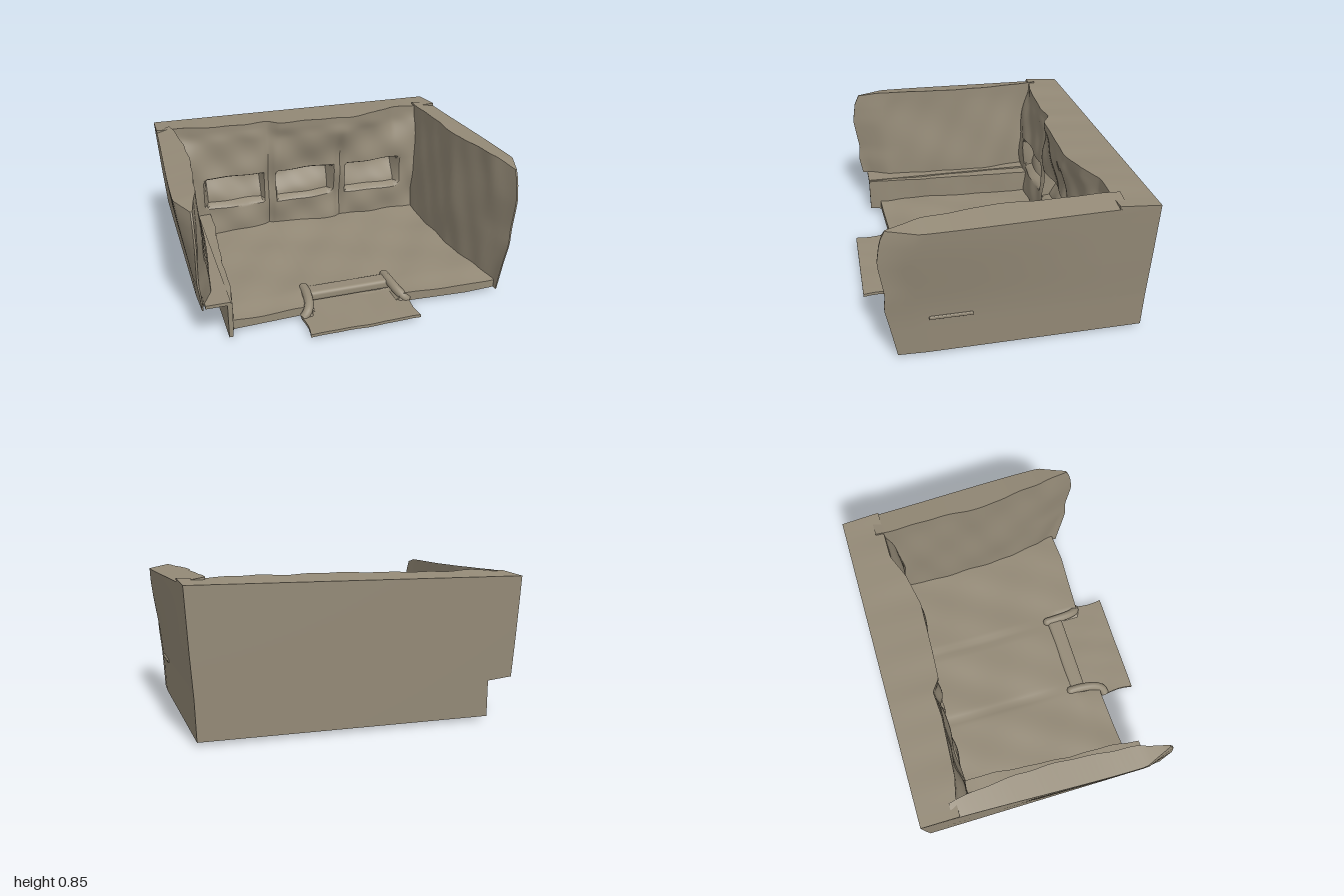
import * as THREE from 'three';
import { toCreasedNormals } from 'three/addons/utils/BufferGeometryUtils.js';
import { RoundedBoxGeometry } from 'three/addons/geometries/RoundedBoxGeometry.js';

const clay = new THREE.MeshStandardMaterial({ color: 0x948a77 });
clay.name = 'clay';

// piecewise linear lookup in a list of [input, output] pairs
function table(rows, v) {
  if (v <= rows[0][0]) return rows[0][1];
  for (let i = 1; i < rows.length; i++) {
    const [a, fa] = rows[i - 1], [b, fb] = rows[i];
    if (v <= b) return fa + (fb - fa) * (v - a) / (b - a);
  }
  return rows[rows.length - 1][1];
}
const smooth = THREE.MathUtils.smoothstep;
const lerp = THREE.MathUtils.lerp;

// gentle crumpled unevenness, about -1 to 1
const rough = (a, b) =>
  (Math.sin(a * 9 + b * 5) + Math.sin(b * 13 - a * 6 + 1) + Math.sin(a * 17 + b * 11 + 2)) / 3;

// box from min to max whose vertices are moved by a rule
function shapedBox(min, max, segments, rule) {
  const size = max.map((m, i) => m - min[i]);
  const g = new THREE.BoxGeometry(...size, ...segments);
  g.translate(...max.map((m, i) => (m + min[i]) / 2));
  const p = g.attributes.position, v = new THREE.Vector3();
  for (let i = 0; i < p.count; i++) {
    v.fromBufferAttribute(p, i);
    rule(v);
    p.setXYZ(i, v.x, v.y, v.z);
  }
  return toCreasedNormals(g, 0.6);
}

// distance of the outer side faces from the centre
function outerX(y, z) {
  const flare = 0.035 * smooth(y, 0.3, 0.84) * smooth(z, -0.78, 0.5);
  return table([[0.03, 0.91], [0.25, 0.92], [0.5, 0.94], [0.84, 0.963]], y) + flare;
}

// back wall: sunk panels, grooves between seats, stepped lower left corner
function backWall() {
  const topEdge = [[-0.88, -0.56], [-0.75, -0.53], [-0.4, -0.51], [-0.25, -0.52], [-0.18, -0.47],
    [0, -0.46], [0.3, -0.45], [0.5, -0.49], [0.65, -0.55], [0.82, -0.55]];
  const rule = v => {
    const { x, y } = v, front = v.z > -0.6;
    if (front) {
      let z = lerp(-0.49, table(topEdge, x), smooth(y, 0.5, 0.84));
      z += 0.018 * rough(x * 1.3, y * 1.5) * smooth(0.84 - y, 0, 0.1);
      for (const gx of [-0.25, 0.25])
        z -= 0.025 * Math.exp(-(((x - gx) / 0.025) ** 2)) * (1 - smooth(y, 0.5, 0.8));
      for (const cx of [-0.49, -0.005, 0.49]) {
        const inside = (1 - smooth(Math.abs(x - cx), 0.188, 0.204)) *
          smooth(y, 0.295, 0.31) * (1 - smooth(y, 0.485, 0.5));
        z -= inside * lerp(0.05, 0.12, smooth(y, 0.3, 0.5));
      }
      v.z = z;
    } else {
      v.z = lerp(-0.766, -0.78, y / 0.84);
    }
    const s = Math.sign(x), out = Math.abs(x) - 0.75;
    if (out > 0) {
      const limit = s < 0 && y < 0.25 ? 0.77 : outerX(y, v.z);
      v.x = s * (0.75 + out * (limit - 0.75) / 0.21);
    }
    if (y > 0.839) v.y += front ? 0.018 + 0.007 * rough(x * 1.5, 0) : 0;
  };
  return shapedBox([-0.96, 0.03, -0.78], [0.96, 0.84, -0.5], [120, 54, 1], rule);
}

// side wall tapering to an upright wedge at its front end
function sideWall(s, bottom) {
  const inner = s < 0
    ? [[-0.6, 0.88], [-0.45, 0.86], [-0.2, 0.83], [0.3, 0.855], [0.5, 0.875], [0.7, 0.92]]
    : [[-0.6, 0.82], [0.1, 0.82], [0.4, 0.86], [0.5, 0.875], [0.7, 0.92]];
  const lean = s < 0 ? 0.045 : 0.02;
  const frontZ = [[0.03, 0.63], [0.2, 0.66], [0.36, 0.69], [0.45, 0.68], [0.65, 0.71], [0.78, 0.69], [0.84, 0.66]];
  const rule = v => {
    const { y, z } = v, isOuter = v.x * s > 0.9 * s * s;
    const o = outerX(y, z), tip = Math.min(0.93, o - 0.008);
    const taper = Math.max(0, (z - 0.53) / 0.17);
    if (isOuter) v.x = s * lerp(o, tip, taper);
    else {
      let x = table(inner, z) - lean * (1 - smooth(y, 0.25, 0.84)) * (1 - taper);
      x += 0.008 * rough(z * 1.5, y) * (1 - taper);
      v.x = s * Math.min(x, tip - 0.008);
    }
    if (y > 0.839 && !isOuter) v.y += 0.025 * (1 - taper);
    v.z += (table(frontZ, y) - 0.7) * smooth(z, 0, 0.7);
  };
  const xs = s < 0 ? [-0.95, -0.85] : [0.85, 0.95];
  return shapedBox([xs[0], bottom, -0.6], [xs[1], 0.84, 0.7], [1, 18, 40], rule);
}

// floor slab with uneven top and a dip leading to the front flap
function floorSlab() {
  const frontZ = [[-0.77, 0.57], [-0.35, 0.55], [0.35, 0.59], [0.7, 0.61], [0.9, 0.6]];
  const rule = v => {
    const { x, z } = v;
    if (v.y > 0.06) {
      v.y = 0.1 + 0.01 * rough(x, z) + 0.015 * smooth(-z, 0.2, 0.55);
      for (const gx of [-0.24, 0.24])
        v.y -= 0.008 * Math.exp(-(((x - gx) / 0.02) ** 2)) * (1 - smooth(z, 0, 0.4));
      v.y -= 0.015 * smooth(z, 0.4, 0.58);
      const dip = (1 - smooth(Math.abs(x), 0.24, 0.3)) * smooth(z, 0.4, 0.46);
      v.y = lerp(v.y, 0.042, dip);
    }
    v.z += (table(frontZ, x) - 0.58) * smooth(z, 0.2, 0.58);
  };
  return shapedBox([-0.76, 0.03, -0.7], [0.9, 0.1, 0.58], [64, 2, 48], rule);
}

// long ledge beside the left-hand wall, narrowing to the front
function ledge() {
  const edge = [[-0.6, -0.665], [-0.3, -0.675], [0.2, -0.715], [0.5, -0.72], [0.64, -0.745]];
  return shapedBox([-0.77, 0.03, -0.7], [-0.67, 0.25, 0.64], [1, 6, 36], v => {
    if (v.x > -0.7) v.x = table(edge, v.z) + 0.005 * rough(v.z * 2, v.y);
    if (v.y > 0.249) v.y += 0.006 * rough(v.z, v.x);
  });
}

export function createModel() {
  const model = new THREE.Group();
  model.name = 'openCabin';
  const add = (name, geometry, x = 0, y = 0, z = 0) => {
    const mesh = new THREE.Mesh(geometry, clay);
    mesh.name = name;
    mesh.position.set(x, y, z);
    model.add(mesh);
    return mesh;
  };

  add('backWall', backWall());
  add('leftWall', sideWall(1, 0.03));
  add('rightWall', sideWall(-1, 0.25));
  add('floor', floorSlab());
  add('sideLedge', ledge());
  // strip joining the ledge top to the overhanging wall
  add('ledgeShelf', new THREE.BoxGeometry(0.14, 0.02, 1.24), -0.82, 0.248, 0.02);

  // thin flap lying in front of the floor
  add('frontFlap', shapedBox([-0.335, 0.028, 0.42], [0.33, 0.046, 0.775], [12, 1, 8], v => {
    v.y += 0.004 * rough(v.x * 2, v.z);
    v.x *= 1 - 0.03 * Math.sin((v.z - 0.6) * 18) * smooth(v.z, 0.6, 0.65);
  }));

  // low bar held by two arms that curl outward and down
  add('stepBar', new RoundedBoxGeometry(0.54, 0.06, 0.1, 3, 0.022), 0, 0.08, 0.41);
  for (const s of [-1, 1]) {
    const path = new THREE.CatmullRomCurve3([
      [0.26, 0.095, 0.36], [0.262, 0.098, 0.44], [0.275, 0.085, 0.53], [0.3, 0.06, 0.575], [0.325, 0.035, 0.585],
    ].map(([x, y, z]) => new THREE.Vector3(s * x, y, z)));
    add('barArm', new THREE.TubeGeometry(path, 20, 0.028, 10));
    add('barArmBack', new THREE.SphereGeometry(0.028, 10, 8), s * 0.26, 0.095, 0.36);
    add('barArmFoot', new RoundedBoxGeometry(0.07, 0.05, 0.05, 2, 0.018), s * 0.3, 0.036, 0.575);
  }

  // shallow raised seam on the outer side
  add('sideSeam', new RoundedBoxGeometry(0.012, 0.02, 0.24, 2, 0.005), 0.926, 0.272, 0.335);

  return model;
}
